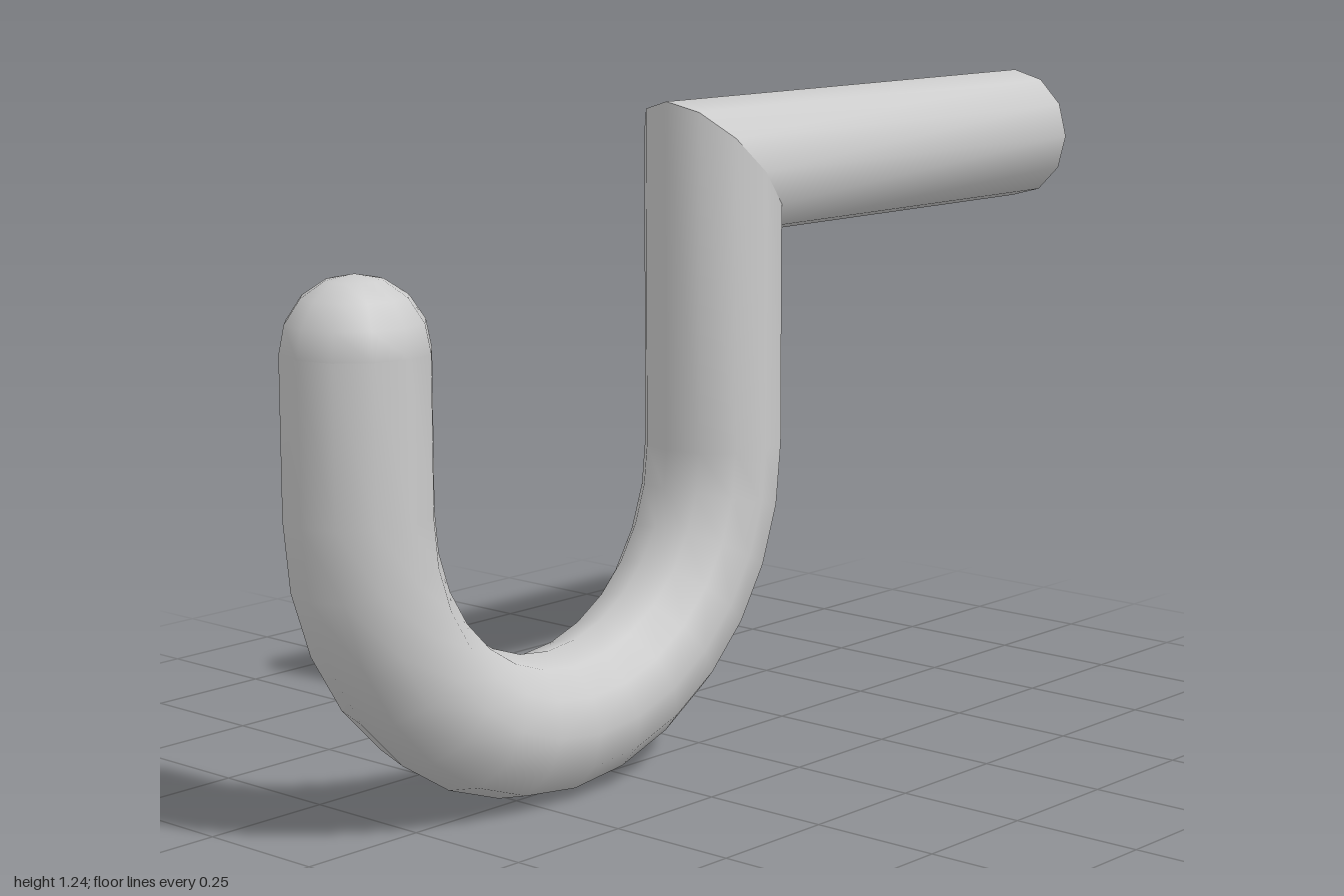
import * as THREE from 'three';

const R = 0.131, SIDES = 12;

// Sweeps a round section along rings in the yz plane.
// Each ring is [y, z, ny, nz]: its centre and the section's outward direction.
function sweep(rings) {
  const pos = [], index = [];
  for (const [y, z, ny, nz] of rings) {
    for (let j = 0; j < SIDES; j++) {
      const a = (j / SIDES) * Math.PI * 2, c = R * Math.cos(a);
      pos.push(R * Math.sin(a), y + ny * c, z + nz * c);
    }
  }
  for (let i = 0; i < rings.length - 1; i++) {
    for (let j = 0; j < SIDES; j++) {
      const k = (j + 1) % SIDES;
      const a = i * SIDES + j, b = i * SIDES + k;
      index.push(a, b, a + SIDES, b, b + SIDES, a + SIDES);
    }
  }
  const g = new THREE.BufferGeometry();
  g.setAttribute('position', new THREE.Float32BufferAttribute(pos, 3));
  g.setIndex(index);
  g.computeVertexNormals();
  return g;
}

export function createModel() {
  const group = new THREE.Group();
  const material = new THREE.MeshStandardMaterial({ color: 0xcccccc });
  const add = (name, geometry) => {
    const mesh = new THREE.Mesh(geometry, material);
    mesh.name = name;
    group.add(mesh);
    return mesh;
  };

  const barY = 1.105, stemZ = -0.04, tipY = 0.867;
  const bend = { y: 0.586, z: 0.415, r: 0.455, steps: 14 };
  const mitre = [barY, stemZ, -1, -1];

  // Horizontal bar, cut at 45 degrees where it meets the stem
  add('bar', sweep([[barY, -1, -1, 0], mitre]));
  const end = add('barEnd', new THREE.CircleGeometry(R, SIDES));
  end.rotation.y = Math.PI;
  end.position.set(0, barY, -1);

  // Stem, half-circle bend and upright front arm
  const rings = [mitre];
  for (let i = 0; i <= bend.steps; i++) {
    const a = (i / bend.steps) * Math.PI;
    const ny = -Math.sin(a), nz = -Math.cos(a);
    rings.push([bend.y + ny * bend.r, bend.z + nz * bend.r, ny, nz]);
  }
  rings.push([tipY, bend.z + bend.r, 0, 1]);
  add('hook', sweep(rings));

  // Rounded tip
  const tip = add('hookTip', new THREE.SphereGeometry(R, SIDES, 4, 0, Math.PI * 2, 0, Math.PI / 2));
  tip.position.set(0, tipY, bend.z + bend.r);

  return group;
}
